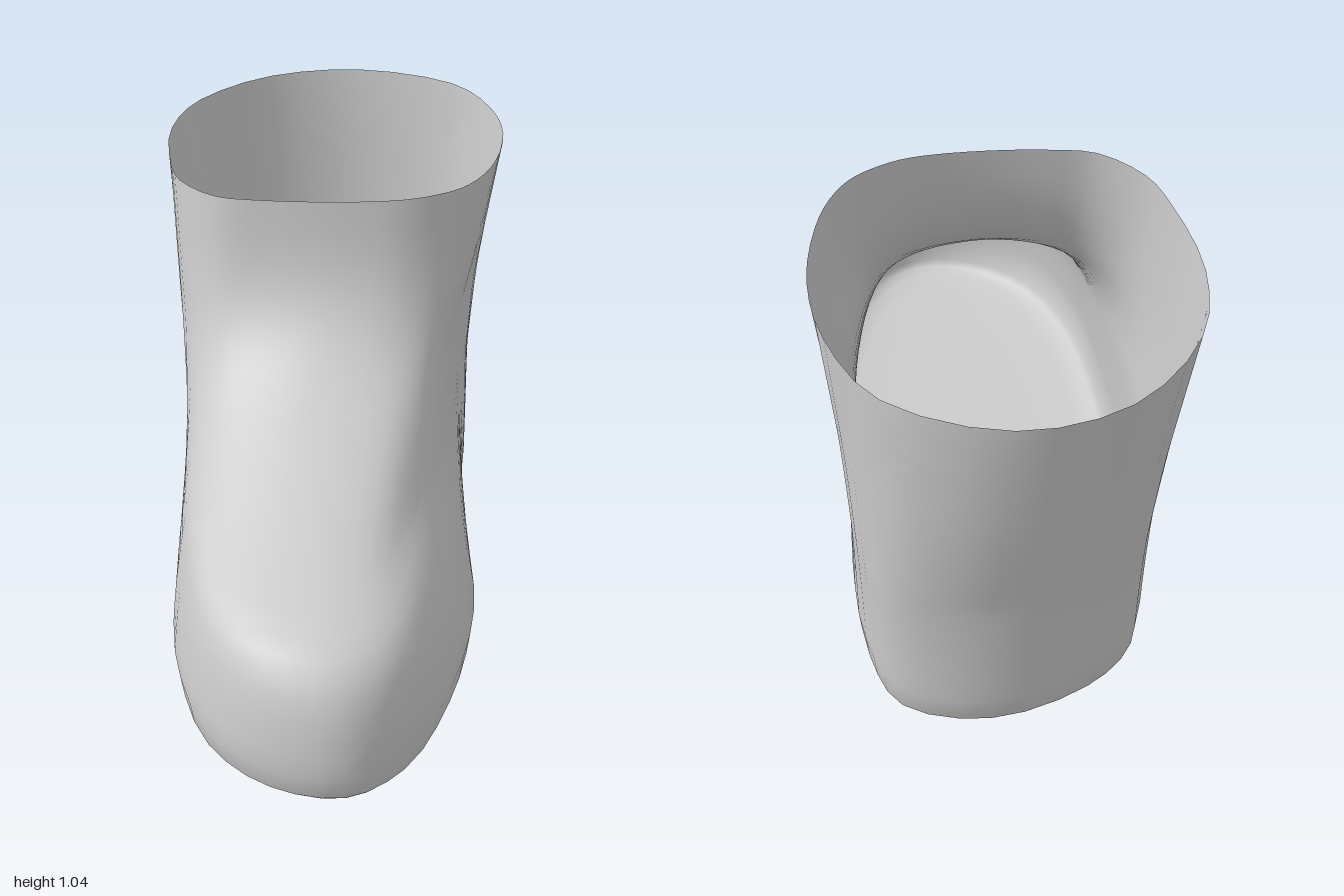
import * as THREE from 'three';

const SEGMENTS = 54;

// Outlines seen from above (x, z), from the toe round the +x side and heel
const wall = [
  [-0.15, 1], [0, 0.93], [0.15, 0.72], [0.26, 0.45], [0.305, 0.15], [0.34, -0.1],
  [0.4, -0.35], [0.435, -0.62], [0.4, -0.8], [0.21, -0.9], [-0.05, -0.87], [-0.2, -0.77],
  [-0.31, -0.5], [-0.39, -0.2], [-0.46, 0.15], [-0.5, 0.5], [-0.45, 0.78], [-0.32, 0.94],
];
const instep = [
  [-0.2, 0.79], [-0.07, 0.74], [0.05, 0.56], [0.17, 0.33], [0.26, 0.1], [0.325, -0.12],
  [0.4, -0.36], [0.447, -0.62], [0.415, -0.81], [0.21, -0.908], [-0.05, -0.885], [-0.21, -0.78],
  [-0.325, -0.5], [-0.39, -0.2], [-0.43, 0.12], [-0.44, 0.4], [-0.41, 0.61], [-0.32, 0.74],
];
const ankle = [
  [-0.03, 0.17], [0.08, 0.155], [0.17, 0.11], [0.235, 0.04], [0.28, -0.04], [0.33, -0.15],
  [0.42, -0.37], [0.46, -0.6], [0.42, -0.82], [0.2, -0.945], [-0.06, -0.92], [-0.23, -0.8],
  [-0.345, -0.55], [-0.4, -0.28], [-0.385, -0.1], [-0.325, 0.03], [-0.24, 0.11], [-0.14, 0.16],
];
const rim = [
  [0.08, 0], [0.16, 0], [0.24, -0.02], [0.3, -0.05], [0.36, -0.11], [0.42, -0.21],
  [0.485, -0.4], [0.495, -0.6], [0.43, -0.82], [0.19, -0.985], [-0.07, -0.975], [-0.29, -0.81],
  [-0.385, -0.6], [-0.405, -0.35], [-0.39, -0.22], [-0.31, -0.1], [-0.2, -0.055], [-0.06, -0.02],
];

// Smooth closed loop through an outline
function loop(outline) {
  const curve = new THREE.CatmullRomCurve3(outline.map(([x, z]) => new THREE.Vector3(x, 0, z)), true);
  return Array.from({ length: SEGMENTS }, (_, i) => curve.getPoint(i / SEGMENTS));
}

// Sole: the wall outline drawn in towards the middle of the foot
function soleRing(y, sx, sz) {
  return loop(wall).map((p) => {
    const middle = (-0.03 - 0.15 * p.z) * sz;
    const x = middle + (p.x + 0.03 + 0.15 * p.z) * sx;
    return new THREE.Vector3(x, y, p.z * sz);
  });
}

// Upper: rings between two outlines; points in front of the zone [z0, z1]
// follow the front profile, those behind it rise evenly
function upperRings(from, to, [y0, y1], [z0, z1], steps, { power = 1, tilt = 0 } = {}) {
  const a = loop(from), b = loop(to);
  return steps.map(([y, front]) => {
    const even = (y - y0) / (y1 - y0);
    return a.map((p, i) => {
      const t = THREE.MathUtils.lerp(even ** power, front, THREE.MathUtils.smoothstep(p.z, z0, z1));
      const q = p.clone().lerp(b[i], t);
      q.y = y + tilt * even * q.z;
      return q;
    });
  });
}

// Soften the joins between neighbouring rings, keeping the first and last
function soften(rings, passes) {
  for (let n = 0; n < passes; n++) {
    rings = rings.map((ring, j) => {
      if (j === 0 || j === rings.length - 1) return ring;
      return ring.map((p, i) =>
        p.clone().multiplyScalar(2).add(rings[j - 1][i]).add(rings[j + 1][i]).divideScalar(4));
    });
  }
  return rings;
}

function loft(rings) {
  const positions = rings.flat().flatMap((p) => [p.x, p.y, p.z]);
  const index = [];
  for (let j = 0; j < rings.length - 1; j++) {
    for (let i = 0; i < SEGMENTS; i++) {
      const k = (i + 1) % SEGMENTS;
      const a = j * SEGMENTS + i, b = j * SEGMENTS + k;
      index.push(a, b, b + SEGMENTS, a, b + SEGMENTS, a + SEGMENTS);
    }
  }
  const geometry = new THREE.BufferGeometry();
  geometry.setAttribute('position', new THREE.Float32BufferAttribute(positions, 3));
  geometry.setIndex(index);
  geometry.computeVertexNormals();
  return geometry;
}

export function createModel() {
  const grey = new THREE.MeshStandardMaterial({ color: 0xcccccc, side: THREE.DoubleSide });
  grey.name = 'light grey';

  // Flat sole and its rounded edge
  const sole = [
    soleRing(0, 0.01, 0.01),
    soleRing(0, 0.5, 0.6),
    soleRing(0.003, 0.8, 0.88),
    soleRing(0.012, 0.9, 0.95),
    soleRing(0.024, 0.95, 0.98),
    soleRing(0.04, 0.98, 0.995),
  ];
  // Side walls and toe box
  const toeBox = upperRings(wall, instep, [0.1, 0.4], [0.4, 1], [
    [0.1, 0], [0.15, 0.01], [0.2, 0.04], [0.25, 0.09], [0.3, 0.17],
    [0.34, 0.27], [0.37, 0.43], [0.39, 0.7], [0.403, 1],
  ], { power: 1.5 });
  // Sloping instep
  const slope = upperRings(instep, ankle, [0.4, 0.64], [-0.3, 0.15], [
    [0.425, 0.16], [0.45, 0.28], [0.5, 0.49], [0.55, 0.69], [0.6, 0.88], [0.64, 1],
  ]);
  // Shaft up to the open rim, lower at the back
  const shaft = upperRings(ankle, rim, [0.64, 1.04], [-0.3, 0.15], [
    [0.68, 0.24], [0.72, 0.45], [0.76, 0.62], [0.81, 0.78], [0.87, 0.91], [0.95, 0.98], [1.04, 1],
  ], { tilt: 0.065 });

  const shoe = new THREE.Mesh(loft([...sole, ...soften([...toeBox, ...slope, ...shaft], 3)]), grey);
  shoe.name = 'ankleBoot';
  const group = new THREE.Group();
  group.name = 'boot';
  group.add(shoe);
  return group;
}
